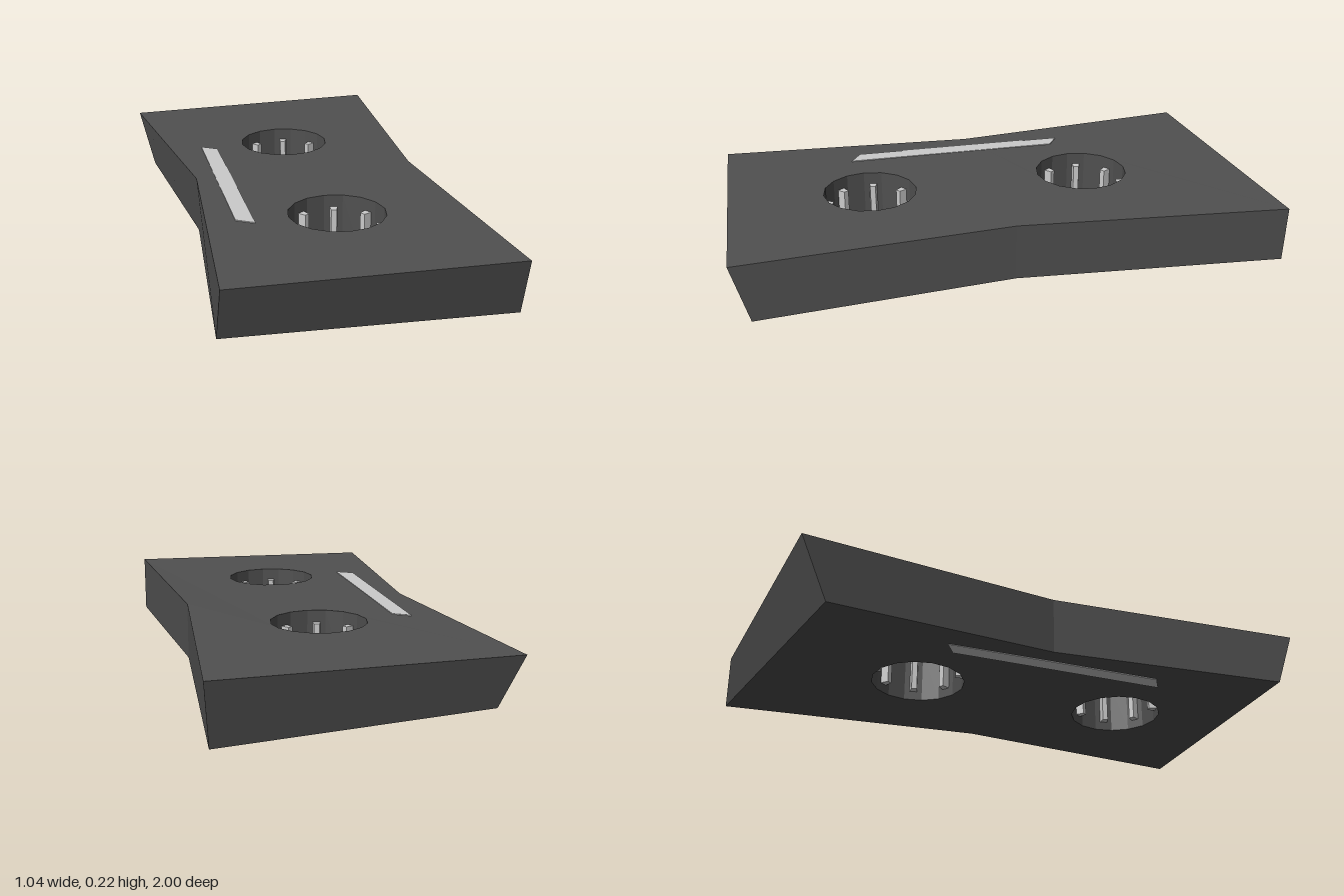
import * as THREE from 'three';

// Corners of the slab as [x, y, z], top and bottom, in matching order
const TOP = [
  [-0.522, 0.211, -0.945], [0.52, 0.211, -1.0], [0.432, 0.217, 0],
  [0.497, 0.214, 0.997], [-0.49, 0.211, 0.965], [-0.41, 0.217, 0],
];
const BOTTOM = [
  [-0.475, 0.004, -0.84], [0.507, 0, -1.0], [0.432, 0.008, 0],
  [0.502, 0.003, 0.935], [-0.493, 0.009, 0.89], [-0.407, 0.008, 0],
];
const HOLES = [[0.013, -0.37], [0.013, 0.457]];
const HOLE_RADIUS = 0.174;
const HOLE_SIDES = 16;
const TEETH = 8;

// Points given as x, z; extruded upwards after the turn
const toPlan = ([x, z]) => new THREE.Vector2(x, -z);

function extrudeUp(shape, depth) {
  const geometry = new THREE.ExtrudeGeometry(shape, { depth, bevelEnabled: false });
  return geometry.rotateX(-Math.PI / 2);
}

// Give the two triangles of each side wall one shared normal
function evenOutWalls(geometry) {
  const normal = geometry.attributes.normal;
  const { start, count } = geometry.groups[1];
  const a = new THREE.Vector3(), b = new THREE.Vector3();
  for (let i = start; i < start + count; i += 6) {
    a.fromBufferAttribute(normal, i).add(b.fromBufferAttribute(normal, i + 3)).normalize();
    for (let k = 0; k < 6; k++) normal.setXYZ(i + k, a.x, a.y, a.z);
  }
}

function makeSlab(material) {
  const shape = new THREE.Shape(TOP.map(([x, , z]) => toPlan([x, z])));
  for (const [cx, cz] of HOLES) {
    const ring = [];
    // Holes run against the outline, so their walls face inwards
    for (let i = 0; i < HOLE_SIDES; i++) {
      const a = (-i / HOLE_SIDES) * Math.PI * 2;
      ring.push(toPlan([cx + HOLE_RADIUS * Math.cos(a), cz + HOLE_RADIUS * Math.sin(a)]));
    }
    shape.holes.push(new THREE.Path(ring));
  }
  const geometry = extrudeUp(shape, 1);

  // Move outline corners to their true places, so the sides lean
  const pos = geometry.attributes.position;
  for (let i = 0; i < pos.count; i++) {
    const x = pos.getX(i), z = pos.getZ(i);
    const upper = pos.getY(i) > 0.5;
    const corner = TOP.findIndex((c) => Math.hypot(c[0] - x, c[2] - z) < 1e-4);
    if (corner >= 0) pos.setXYZ(i, ...(upper ? TOP : BOTTOM)[corner]);
    else pos.setY(i, upper ? 0.215 : 0.006);
  }
  geometry.computeVertexNormals();
  evenOutWalls(geometry);
  const mesh = new THREE.Mesh(geometry, material);
  mesh.name = 'slab';
  return mesh;
}

// Slanted-ended strip set through the slab, flush with both faces
function makeStrip(material) {
  const outline = [[-0.332, -0.37], [-0.273, -0.33], [-0.283, 0.487], [-0.345, 0.447]];
  const strip = new THREE.Mesh(extrudeUp(new THREE.Shape(outline.map(toPlan)), 0.214), material);
  strip.position.y = 0.004;
  strip.name = 'inlayStrip';
  return strip;
}

// Ring of short upright teeth on the wall of a hole, narrowing inwards
function makeTeeth([cx, cz], material) {
  const ring = new THREE.Group();
  ring.name = 'holeTeeth';
  ring.position.set(cx, 0.105, cz);
  const geometry = new THREE.BoxGeometry(0.05, 0.13, 0.034);
  const pos = geometry.attributes.position;
  for (let i = 0; i < pos.count; i++) {
    if (pos.getX(i) < 0) pos.setZ(i, pos.getZ(i) * 0.6);
  }
  geometry.computeVertexNormals();
  for (let i = 0; i < TEETH; i++) {
    const a = (i / TEETH) * Math.PI * 2 + 0.2;
    const tooth = new THREE.Mesh(geometry, material);
    tooth.name = 'tooth';
    tooth.position.set(Math.cos(a) * 0.165, 0, Math.sin(a) * 0.165);
    tooth.rotation.y = -a;
    ring.add(tooth);
  }
  return ring;
}

export function createModel() {
  const dark = new THREE.MeshStandardMaterial({ color: 0x505050 });
  const grey = new THREE.MeshStandardMaterial({ color: 0xcccccc });
  const group = new THREE.Group();
  group.name = 'connectorPlate';
  group.add(makeSlab(dark), makeStrip(grey));
  for (const hole of HOLES) group.add(makeTeeth(hole, grey));
  return group;
}
